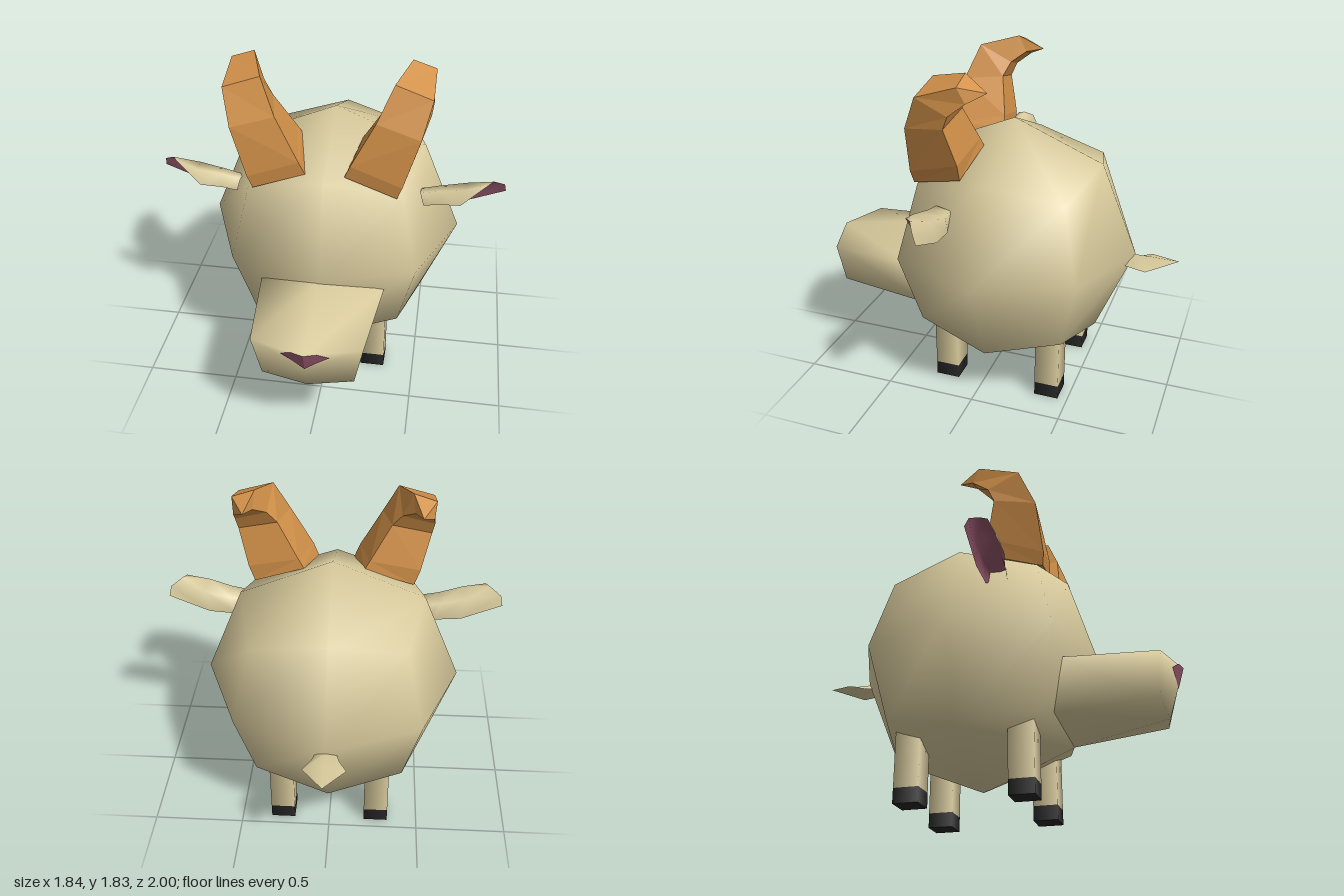
import * as THREE from 'three';
import { mergeVertices } from 'three/addons/utils/BufferGeometryUtils.js';

const mat = (name, color) => {
  const m = new THREE.MeshStandardMaterial({ color });
  m.name = name;
  return m;
};

// Skin a list of equal-length point rings; flip turns the faces over.
function loft(rings, { closed = true, flat = false, flip = false } = {}) {
  const n = rings[0].length, index = [];
  for (let i = 0; i < rings.length - 1; i++) {
    for (let j = 0; j < (closed ? n : n - 1); j++) {
      const k = (j + 1) % n;
      const a = i * n + j, b = i * n + k, c = a + n, d = b + n;
      index.push(...(flip ? [a, b, c, b, d, c] : [a, c, b, b, c, d]));
    }
  }
  let geo = new THREE.BufferGeometry();
  geo.setAttribute('position', new THREE.Float32BufferAttribute(rings.flat(2), 3));
  geo.setIndex(index);
  geo = flat ? geo.toNonIndexed() : mergeVertices(geo);
  geo.computeVertexNormals();
  return geo;
}

const mirror = (rings, s) => rings.map(r => r.map(([x, y, z]) => [x * s, y, z]));
const point = (p, n) => Array(n).fill(p);

export function createModel() {
  const group = new THREE.Group();
  const fur = mat('fur', 0xd8ca9c);
  const hornMat = mat('horn', 0xd29149);
  const pink = mat('pink skin', 0x95576b);
  const black = mat('hoof', 0x262626);
  const add = (name, geo, m) => {
    const mesh = new THREE.Mesh(geo, m);
    mesh.name = name;
    group.add(mesh);
    return mesh;
  };

  // Body: a subdivided box rounded into a ball, slightly flattened in front
  let body = new THREE.BoxGeometry(1, 1, 1, 2, 2, 2);
  body.deleteAttribute('uv');
  body.deleteAttribute('normal');
  body = mergeVertices(body);
  const pos = body.attributes.position, v = new THREE.Vector3();
  for (let i = 0; i < pos.count; i++) {
    v.fromBufferAttribute(pos, i).normalize().multiplyScalar(0.69);
    if (v.z > 0.6) v.z -= 0.055;
    pos.setXYZ(i, v.x, v.y + 0.805, v.z - 0.075);
  }
  body.computeVertexNormals();
  add('body', body, fur);

  // Muzzle: six-sided rings from the body to a shallow pointed front
  const hex = (top, upper, lower, bottom) => {
    const m = ([x, y, z]) => [-x, y, z];
    return [top, upper, lower, bottom, m(lower), m(upper)];
  };
  add('muzzle', loft([
    hex([0, 0.79, 0.53], [0.33, 0.69, 0.43], [0.27, 0.42, 0.36], [0, 0.32, 0.41]),
    hex([0, 0.7, 1], [0.28, 0.69, 0.91], [0.235, 0.46, 0.89], [0, 0.43, 0.915]),
    point([0, 0.58, 0.963], 6),
  ]), fur);

  // Nose: a thin plate that follows the front of the muzzle
  const outline = [[0, 0.7], [-0.065, 0.7], [-0.12, 0.66], [-0.05, 0.62], [0, 0.585],
    [0.05, 0.62], [0.12, 0.66], [0.065, 0.7]];
  const onFace = ([x, y]) => [x, y, 1.004 - 0.31 * Math.abs(x) - 0.31 * (0.7 - y)];
  add('nose', loft([point(onFace([0, 0.66]), 8), outline.map(onFace)], { flat: true }), pink);

  // Horns: square sections (front inner, back inner, back outer, front outer)
  const horn = [
    point([0.27, 1.28, 0.2], 4),
    [[0.1, 1.3, 0.33], [0.16, 1.38, 0.04], [0.43, 1.28, 0.07], [0.37, 1.21, 0.35]],
    [[0.13, 1.37, 0.34], [0.19, 1.43, 0.05], [0.46, 1.37, 0.07], [0.395, 1.28, 0.36]],
    [[0.25, 1.6, 0.31], [0.3, 1.62, 0.1], [0.51, 1.57, 0.12], [0.475, 1.54, 0.34]],
    [[0.33, 1.78, 0.24], [0.35, 1.69, 0.07], [0.52, 1.64, 0.09], [0.52, 1.72, 0.26]],
    [[0.4, 1.83, 0.04], [0.41, 1.74, 0], [0.51, 1.71, 0], [0.52, 1.79, 0.04]],
    point([0.45, 1.755, -0.09], 4),
  ];

  // Ears: an open arch (front edge, top, back, lower back edge)
  const ear = [
    [[0.5, 1.08, 0.19], [0.48, 1.15, 0.18], [0.48, 1.13, 0.1], [0.52, 1.06, 0.1]],
    [[0.58, 1.1, 0.2], [0.58, 1.17, 0.18], [0.58, 1.15, 0.09], [0.55, 1.045, 0.09]],
    [[0.69, 1.12, 0.225], [0.71, 1.2, 0.2], [0.72, 1.18, 0.09], [0.7, 1.06, 0.085]],
    [[0.83, 1.235, 0.18], [0.85, 1.235, 0.15], [0.91, 1.2, 0.11], [0.92, 1.15, 0.09]],
  ];

  for (const [side, s] of [['left', 1], ['right', -1]]) {
    const flip = s < 0;
    add(side + 'Horn', loft(mirror(horn, s), { flat: true, flip }), hornMat);
    add(side + 'EarOuter', loft(mirror(ear, s), { closed: false, flip }), fur);
    add(side + 'EarInner', loft(mirror(ear, s), { closed: false, flip: !flip }), pink);

    // Legs: square posts with soft shading and dark hooves
    for (const [end, z] of [['front', 0.21], ['back', -0.38]]) {
      const post = (name, y0, y1, m) => {
        const geo = new THREE.CylinderGeometry(0.095, 0.095, y1 - y0, 4, 1, false, Math.PI / 4);
        add(side + end + name, geo, m).position.set(0.265 * s, (y0 + y1) / 2, z);
      };
      post('Leg', 0.08, 0.42, fur);
      post('Hoof', 0, 0.08, black);
    }
  }

  // Tail: a folded leaf with an upper and a lower skin
  const tail = [
    [[0.05, 0.75, -0.7], [0, 0.8, -0.7], [-0.05, 0.75, -0.7]],
    [[0.07, 0.75, -0.76], [0, 0.8, -0.76], [-0.07, 0.75, -0.76]],
    [[0.11, 0.76, -0.84], [0, 0.8, -0.84], [-0.11, 0.76, -0.84]],
    point([0, 0.797, -1], 3),
  ];
  add('tailTop', loft(tail, { closed: false }), fur);
  add('tailUnderside', loft(tail, { closed: false, flip: true }), fur);

  return group;
}
